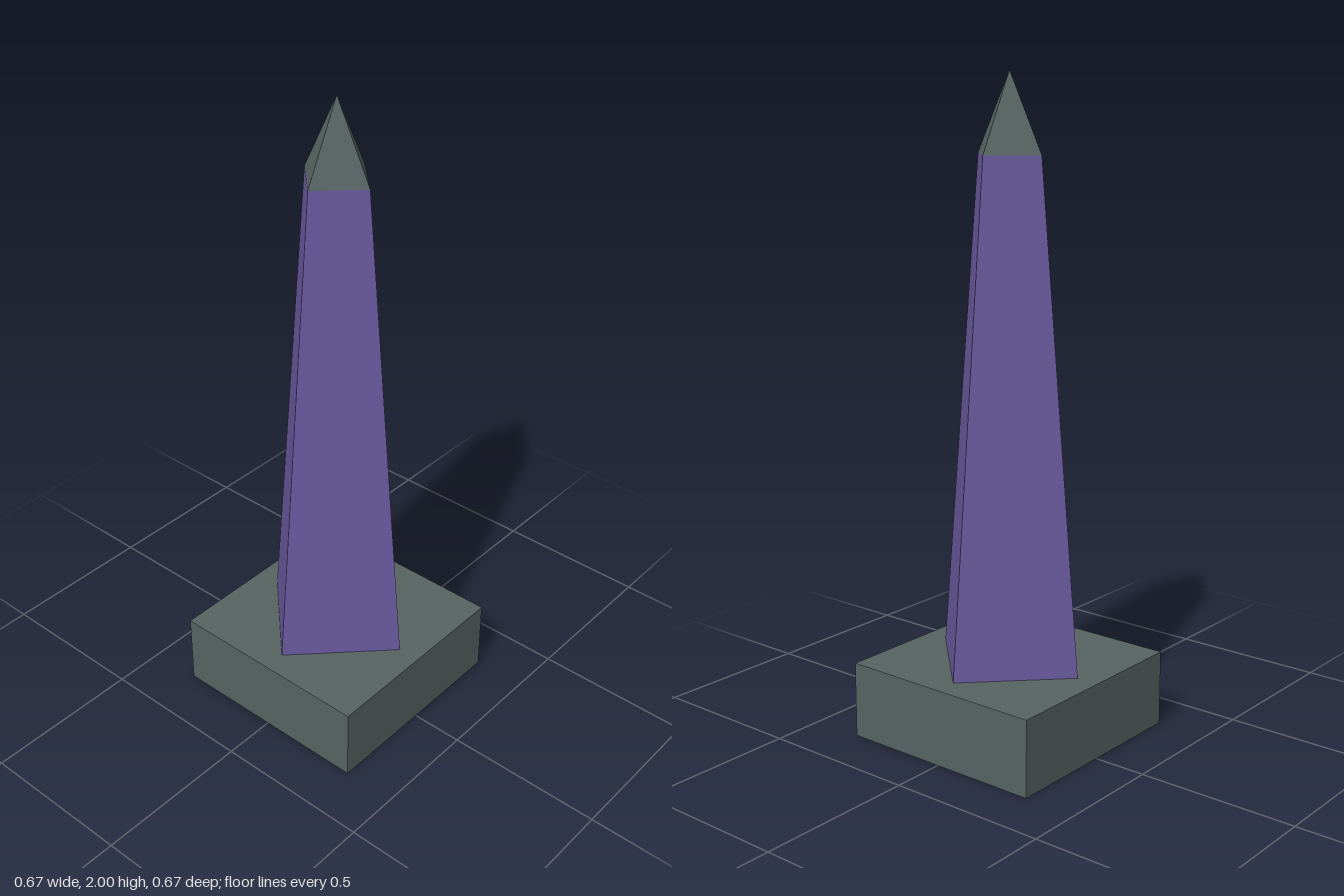
import * as THREE from 'three';

function material(name, color) {
  const m = new THREE.MeshStandardMaterial({ color, flatShading: true });
  m.name = name;
  return m;
}

export function createModel() {
  const stone = material('slate stone', 0x566462);
  const purple = material('purple stone', 0x6a5a9f);

  const baseTop = 0.236, shaftTop = 1.765, tip = 2;
  const bottomRadius = 0.262, topRadius = 0.118;

  const group = new THREE.Group();
  group.name = 'obelisk';

  const add = (name, geometry, mat, bottom, top) => {
    const mesh = new THREE.Mesh(geometry, mat);
    mesh.name = name;
    mesh.position.y = (bottom + top) / 2;
    group.add(mesh);
  };

  // Square plinth
  add('base', new THREE.BoxGeometry(0.667, baseTop, 0.667), stone, 0, baseTop);

  // Four-sided tapering shaft, corners on the x and z axes
  add('shaft', new THREE.CylinderGeometry(topRadius, bottomRadius, shaftTop - baseTop, 4),
    purple, baseTop, shaftTop);

  // Pyramid cap
  add('cap', new THREE.ConeGeometry(topRadius, tip - shaftTop, 4), stone, shaftTop, tip);

  return group;
}
